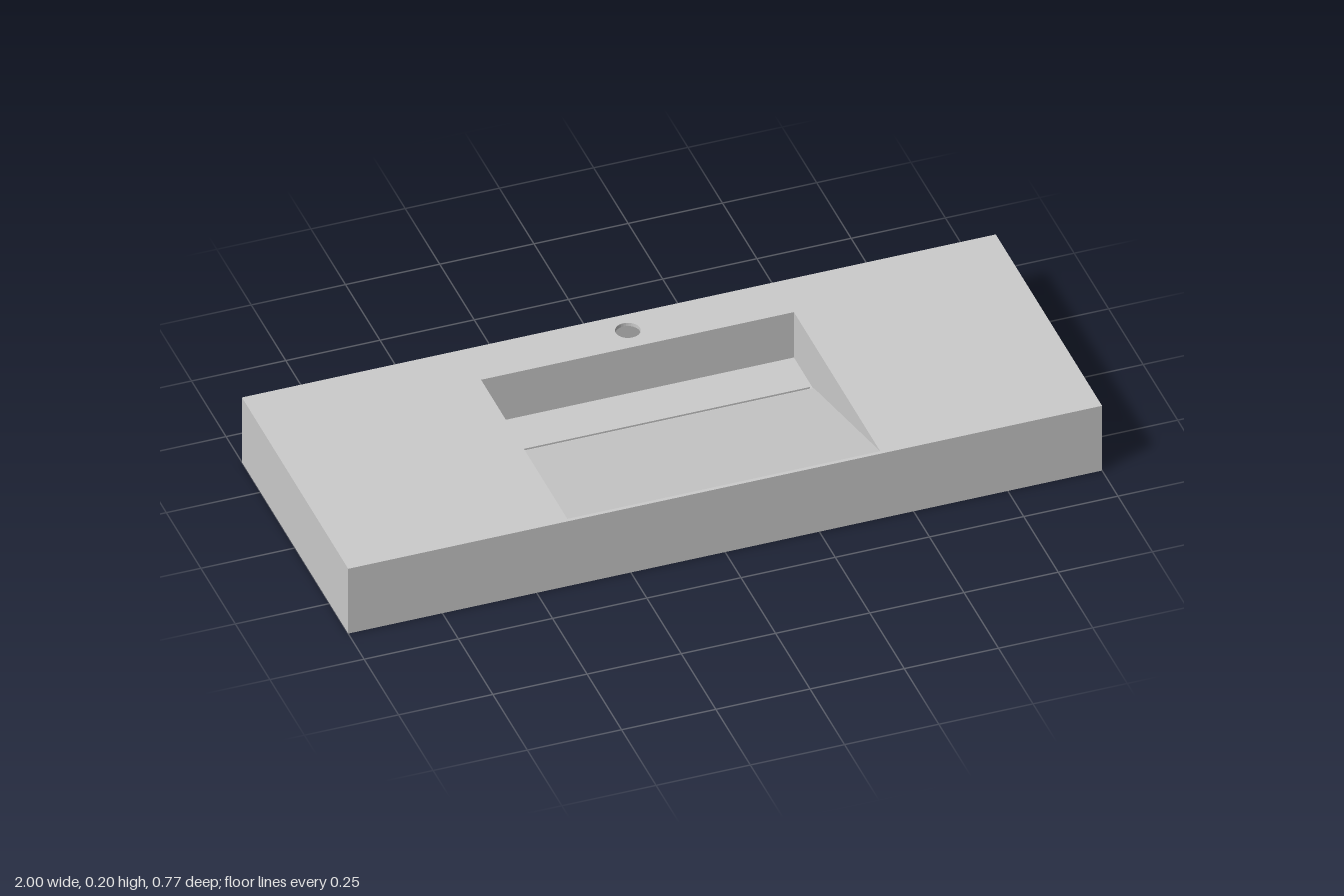
import * as THREE from 'three';

const W = 1, D = 0.385, H = 0.2, T = 0.01;          // half width, half depth, height, shell thickness
const BX = 0.415, BACK = -0.25, BEND = -0.105, FRONT = D - T; // basin limits
const FLOOR = 0.06;

const material = new THREE.MeshStandardMaterial({ color: 0xcccccc, flatShading: true });

function polygon(points, Type = THREE.Shape) {
  return new Type(points.map(([a, b]) => new THREE.Vector2(a, b)));
}

// rectangle in plan, given in x and z
function planRect(x, z0, z1, Type) {
  return polygon([[-x, -z1], [x, -z1], [x, -z0], [-x, -z0]], Type);
}

function extrude(shape, depth) {
  return new THREE.ExtrudeGeometry(shape, { depth, bevelEnabled: false, curveSegments: 16 });
}

// plan shape raised from y to y + height
function slab(shape, y, height) {
  return extrude(shape, height).rotateX(-Math.PI / 2).translate(0, y, 0);
}

// (z, y) profile swept across x, centred on cx
function sweep(points, width, cx = 0) {
  return extrude(polygon(points), width).rotateY(-Math.PI / 2).translate(cx + width / 2, 0, 0);
}

export function createModel() {
  const group = new THREE.Group();
  const add = (name, geometry) => {
    const mesh = new THREE.Mesh(geometry, material);
    mesh.name = name;
    group.add(mesh);
  };

  // countertop with basin opening and tap hole
  const top = planRect(W, -D, D);
  top.holes.push(planRect(BX, BACK, FRONT, THREE.Path));
  top.holes.push(new THREE.Path().absarc(0, 0.32, 0.032, 0, Math.PI * 2));
  add('countertop', slab(top, H - T, T));

  // outer skirt, open underneath
  const skirt = planRect(W, -D, D);
  skirt.holes.push(planRect(W - T, -D + T, D - T, THREE.Path));
  add('skirt', slab(skirt, 0, H - T));

  // basin: back wall, flat drain floor and sloping ramp
  add('basin', sweep([
    [FRONT, H], [BEND, FLOOR + 0.005], [BEND, FLOOR], [BACK, FLOOR], [BACK, H - T],
    [BACK - T, H - T], [BACK - T, FLOOR - T], [BEND, FLOOR - T], [FRONT, H - T],
  ], BX * 2));

  // basin side walls
  for (const side of [-1, 1]) {
    add(side > 0 ? 'basinLeftSide' : 'basinRightSide', sweep([
      [BACK - T, H - T], [BACK - T, FLOOR - T], [BEND, FLOOR - T], [FRONT, H - T],
    ], T, side * (BX + T / 2)));
  }

  // drain cover with a narrow gap all round
  add('drainCover', slab(planRect(BX - 0.008, BACK + 0.008, BEND - 0.008), FLOOR, 0.005));

  return group;
}
